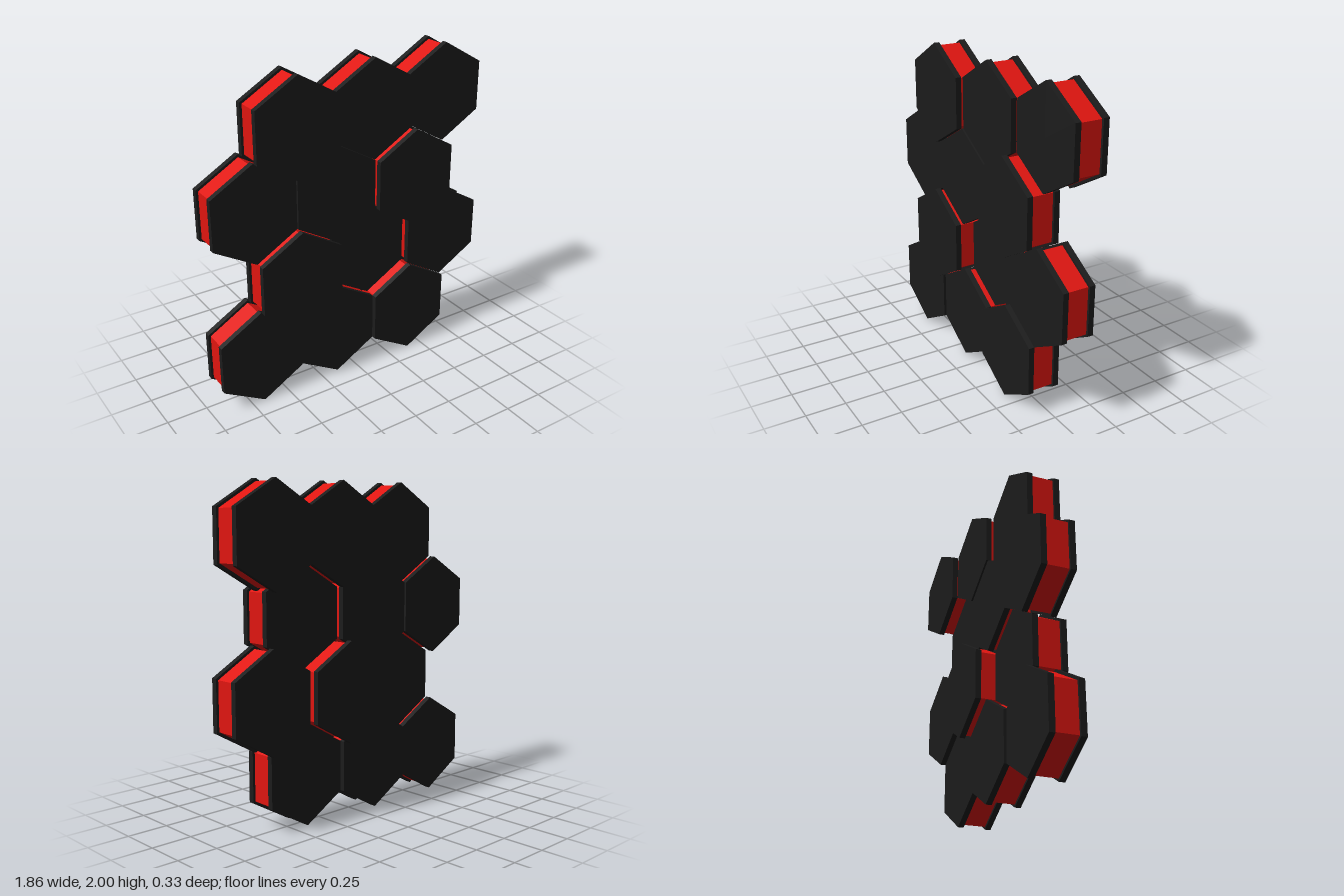
import * as THREE from 'three';

const R = 2 / 6.5;              // hexagon cell radius
const W = Math.sqrt(3) * R;     // cell width
const DEPTH = 0.206;            // full tile depth
const PLATE = 0.035;            // cover plate thickness

// Centre z of each tile, rows from bottom to top, left to right in x
const OFFSETS = [
  [0.018, 0.003, 0.032],
  [0.061, -0.062, 0.0],
  [0.0, 0.012, 0.061],
  [0.047, 0.002, -0.035],
];

// Pointy-top hexagonal prism with its axis along z
function hexPrism(radius, depth) {
  return new THREE.CylinderGeometry(radius, radius, depth, 6).rotateX(Math.PI / 2);
}

export function createModel() {
  const group = new THREE.Group();
  group.name = 'hexagonTilePanel';

  const dark = new THREE.MeshStandardMaterial({ color: 0x1c1c1c, flatShading: true });
  const red = new THREE.MeshStandardMaterial({ color: 0xe01510, flatShading: true });
  const plateGeo = hexPrism(R - 0.001, PLATE);
  const coreGeo = hexPrism(R - 0.018, DEPTH - 2 * PLATE);

  const add = (parent, name, geo, mat, z) => {
    const mesh = new THREE.Mesh(geo, mat);
    mesh.name = name;
    mesh.position.z = z;
    parent.add(mesh);
  };

  // Staggered rows of tiles: a red core between two dark cover plates
  OFFSETS.forEach((row, j) => row.forEach((z, i) => {
    const tile = new THREE.Group();
    tile.name = `tileRow${j + 1}Column${i + 1}`;
    tile.position.set((i - 1 + (j % 2 ? 0.25 : -0.25)) * W, R + 1.5 * R * j, z);
    const plateZ = (DEPTH - PLATE) / 2;
    add(tile, 'core', coreGeo, red, 0);
    add(tile, 'frontPlate', plateGeo, dark, plateZ);
    add(tile, 'backPlate', plateGeo, dark, -plateZ);
    group.add(tile);
  }));

  return group;
}
